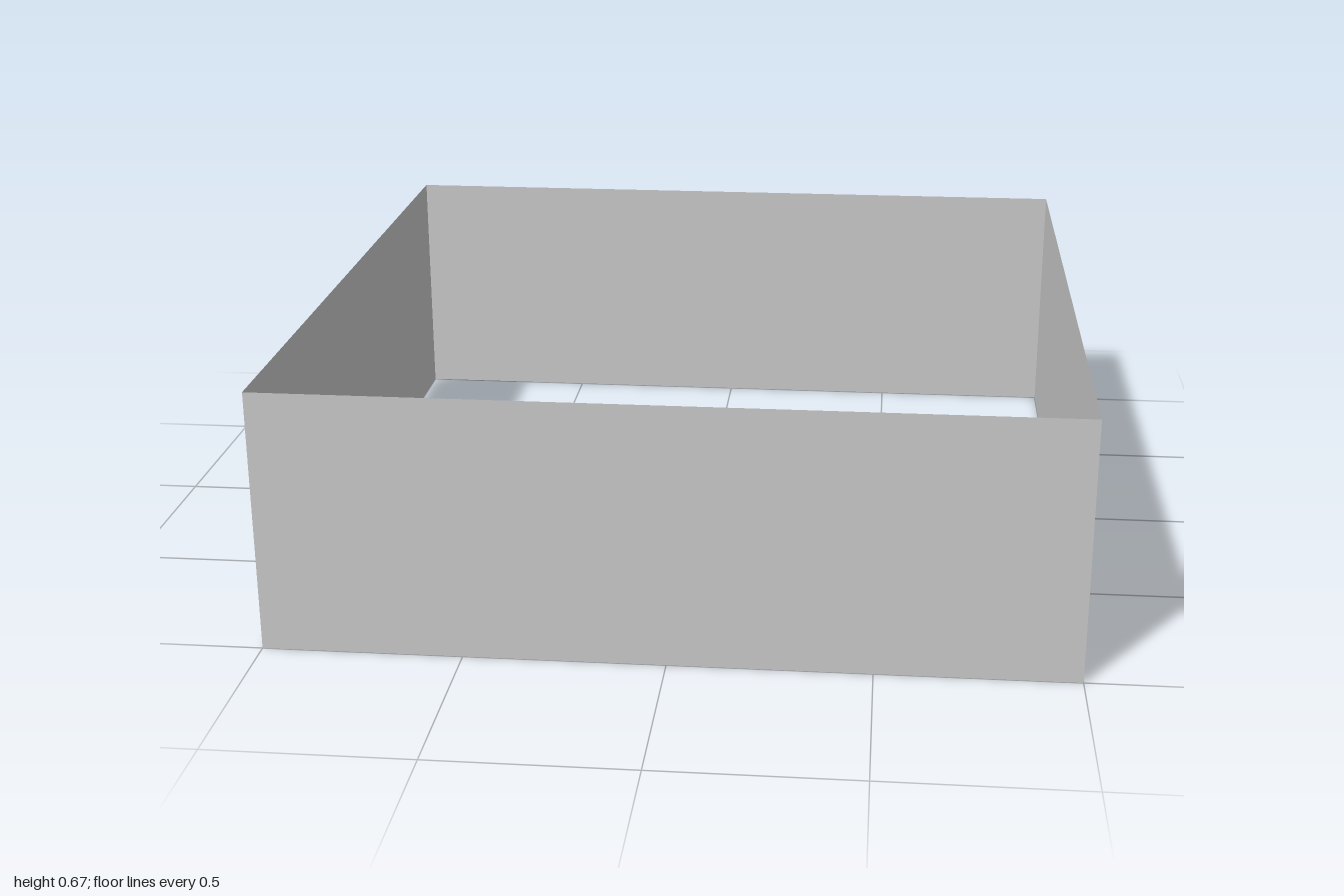
import * as THREE from 'three';

export function createModel() {
  const model = new THREE.Group();
  const height = 0.67;
  const material = new THREE.MeshStandardMaterial({
    color: 0xcccccc, side: THREE.DoubleSide, flatShading: true,
  });

  // Four thin walls around an open square
  ['frontWall', 'leftWall', 'backWall', 'rightWall'].forEach((name, i) => {
    const angle = i * Math.PI / 2;
    const wall = new THREE.Mesh(new THREE.PlaneGeometry(2, height), material);
    wall.name = name;
    wall.position.set(Math.sin(angle), height / 2, Math.cos(angle));
    wall.rotation.y = angle;
    model.add(wall);
  });

  // Three flat panels hanging just inside the front wall, facing the room
  const panels = new THREE.Group();
  panels.name = 'panels';
  for (const i of [-1, 0, 1]) {
    const panel = new THREE.Mesh(new THREE.PlaneGeometry(0.39, 0.5), material);
    panel.name = 'panel';
    panel.position.set(i * 0.557, height / 2, 0.95);
    panel.rotation.y = Math.PI;
    panels.add(panel);
  }
  model.add(panels);

  return model;
}
